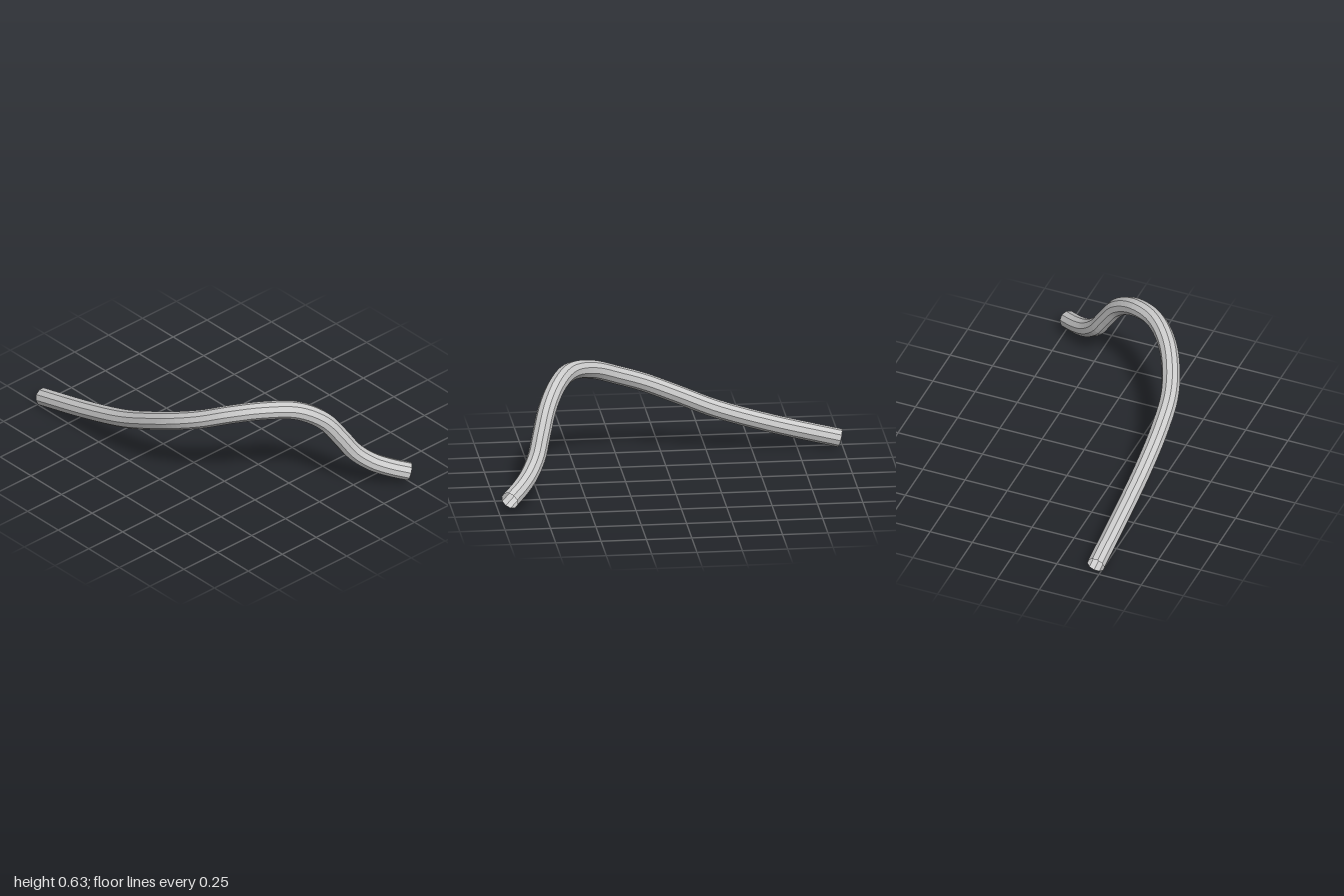
import * as THREE from 'three';

export function createModel() {
  const model = new THREE.Group();
  model.name = 'bentPipe';

  const paleGrey = new THREE.MeshStandardMaterial({
    color: 0xcccccc, flatShading: true, side: THREE.DoubleSide,
  });
  paleGrey.name = 'pale grey';

  // Centre line from the low back end, over the hump, down to the front end
  const path = new THREE.CatmullRomCurve3([
    [-0.475, 0.05, -0.985],
    [-0.478, 0.15, -0.6],
    [-0.48, 0.245, -0.3],
    [-0.478, 0.34, -0.08],
    [-0.46, 0.42, 0.1],
    [-0.41, 0.483, 0.25],
    [-0.325, 0.55, 0.4],
    [-0.2, 0.583, 0.53],
    [-0.05, 0.56, 0.62],
    [0.08, 0.473, 0.69],
    [0.17, 0.345, 0.735],
    [0.235, 0.243, 0.768],
    [0.315, 0.165, 0.82],
    [0.4, 0.117, 0.88],
    [0.487, 0.083, 0.945],
  ].map((p) => new THREE.Vector3(...p)));

  // Open ten-sided pipe
  const pipe = new THREE.Mesh(new THREE.TubeGeometry(path, 80, 0.051, 10, false), paleGrey);
  pipe.name = 'pipe';
  model.add(pipe);

  return model;
}
